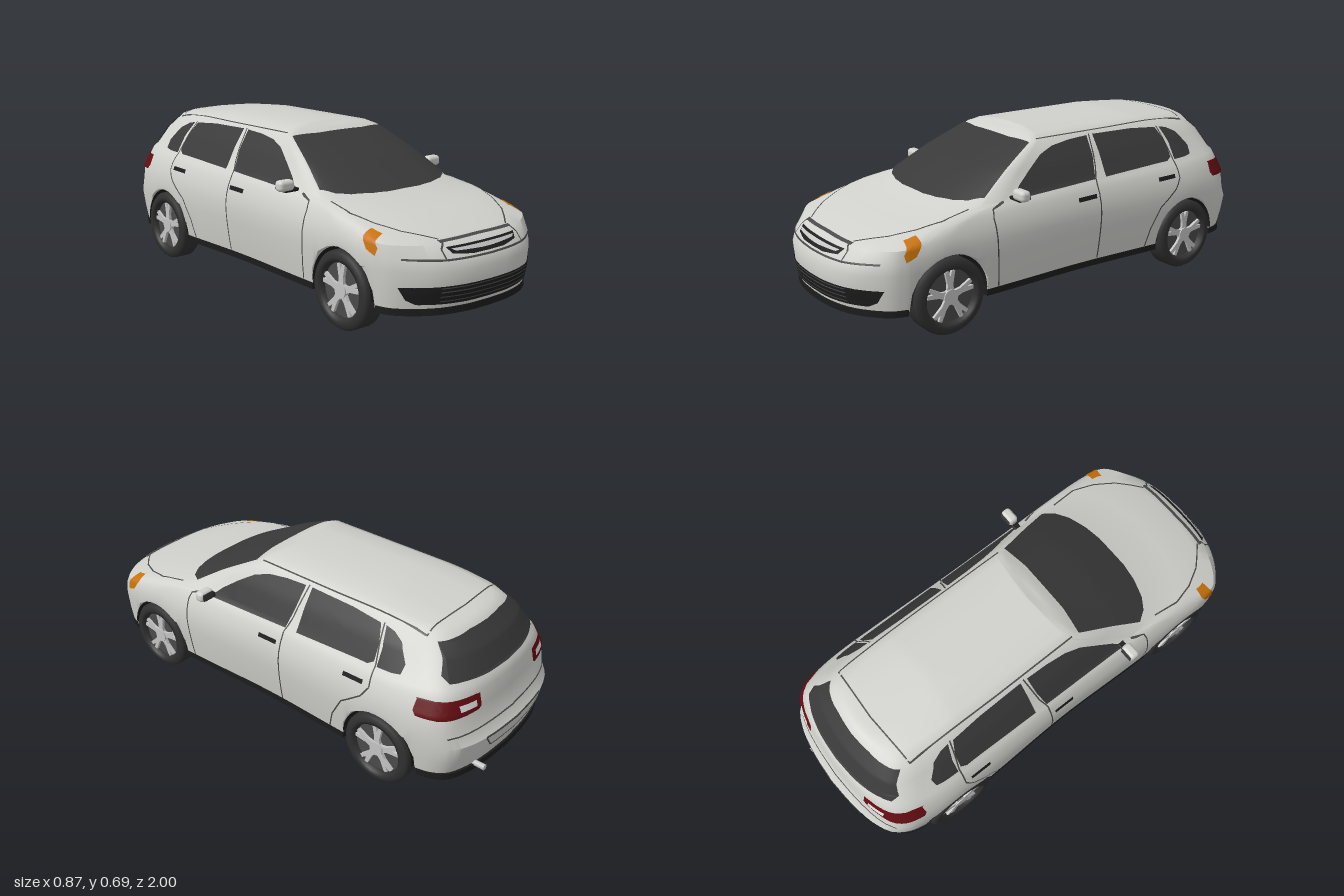
import * as THREE from 'three';
import { toCreasedNormals } from 'three/addons/utils/BufferGeometryUtils.js';
import { RoundedBoxGeometry } from 'three/addons/geometries/RoundedBoxGeometry.js';

const mat = (name, color) => new THREE.MeshStandardMaterial({ name, color, side: THREE.DoubleSide });
const M = {
  paint: mat('silver paint', 0xd0d0cc), glass: mat('tinted glass', 0x393939), trim: mat('black trim', 0x1c1c1c),
  tyre: mat('tyre rubber', 0x303030), seam: mat('panel gap', 0x4a4a4a), rim: mat('alloy', 0xc4c4c4),
  amber: mat('amber lens', 0xc87208), red: mat('red lens', 0x640c12), white: mat('clear lens', 0xe2dede),
};

const ARCH_R = 0.166, AXLE_Y = 0.1525, AXLES = [0.6, -0.625];
const lerp = THREE.MathUtils.lerp;

// Half outline seen from above, front centre to rear centre: [width fraction, z]
function outline() {
  const arc = pts => new THREE.CatmullRomCurve3(pts.map(([x, z]) => new THREE.Vector3(x, 0, z)))
    .getPoints(16).map(p => [p.x, p.z]);
  const zs = [];
  for (const c of AXLES) {
    zs.push(c + ARCH_R + 0.004);
    for (let i = 0; i <= 16; i++) zs.push(c + ARCH_R * Math.cos(Math.PI * i / 16));
    zs.push(c - ARCH_R - 0.004);
  }
  for (let z = 0.36; z > -0.42; z -= 0.09) zs.push(z);
  zs.sort((a, b) => b - a);
  const side = zs.map(z => [1 - 1.2 * Math.max(0, Math.abs(z) - 0.62) ** 2, z]);
  return [
    ...arc([[0, 0.99], [0.3, 0.982], [0.6, 0.945], [0.82, 0.88], [0.93, 0.825], [0.972, 0.774]]),
    ...side,
    ...arc([[0.962, -0.799], [0.93, -0.86], [0.85, -0.92], [0.65, -0.965], [0.35, -0.99], [0, -1]]),
  ];
}
const HALF = outline();
const inArch = z => AXLES.find(c => Math.abs(z - c) <= ARCH_R + 1e-6);

// Stacked rings: half width, front z, rear z, heights at [nose, front axle, rear axle, tail]
const RINGS = [
  [0.385, 0.970, -0.965, [0.125, 0.135, 0.135, 0.145]],
  [0.395, 0.985, -0.985, [0.200, 0.200, 0.200, 0.200]],
  [0.403, 0.990, -1.000, [0.275, 0.280, 0.280, 0.270]],
  [0.405, 0.972, -0.968, [0.312, 0.335, 0.340, 0.310]],
  [0.396, 0.925, -0.955, [0.360, 0.385, 0.400, 0.400]],
  [0.377, 0.880, -0.945, [0.378, 0.430, 0.450, 0.460]],
  [0.361, 0.720, -0.935, [0.427, 0.455, 0.475, 0.490]],
  [0.346, 0.535, -0.920, [0.462, 0.467, 0.490, 0.505]],
  [0.299, 0.340, -0.878, [0.562, 0.565, 0.575, 0.580]],
  [0.244, 0.130, -0.820, [0.655, 0.652, 0.652, 0.640]],
  [0.200, 0.110, -0.800, [0.667, 0.672, 0.672, 0.652]],
  [0.100, 0.090, -0.780, [0.672, 0.683, 0.682, 0.656]],
  [0.000, 0.080, -0.770, [0.673, 0.685, 0.684, 0.658]],
];
function ringPoint(k, [fx, z]) {
  const [w, zf, zr, [yF, yA, yB, yR]] = RINGS[k];
  const pf = k <= 4 ? 0.78 : 0, pr = k <= 4 ? -0.8 : 0;
  let y = z > 0.6 ? lerp(yA, yF, (z - 0.6) / 0.39) : z > -0.6 ? lerp(yB, yA, (z + 0.6) / 1.2) : lerp(yB, yR, (-0.6 - z) / 0.4);
  const c = inArch(z);
  if (k <= 3 && c !== undefined) y = Math.max(y, AXLE_Y + Math.sqrt(Math.max(0, ARCH_R ** 2 - (z - c) ** 2)) + k * 0.002);
  const waist = k <= 6 ? 1 - 0.04 * Math.exp(-(((z + 0.05) / 0.32) ** 2)) * (1 - k / 7) : 1;
  let zz = z;
  if (z > pf) zz = pf + (z - pf) * (zf - pf) / (0.99 - pf);
  else if (z < pr) zz = pr + (z - pr) * (zr - pr) / (-1 - pr);
  return [fx * w * waist, y, zz];
}

// Body shell lofted through the rings
function bodyShell() {
  const pos = [], idx = [], n = 2 * HALF.length - 2;
  RINGS.forEach((_, k) => {
    const half = HALF.map(s => ringPoint(k, s));
    const other = half.slice(1, -1).reverse().map(([x, y, z]) => [-x, y, z]);
    [...half, ...other].forEach(p => pos.push(...p));
  });
  for (let k = 0; k < RINGS.length - 1; k++) for (let i = 0; i < n; i++) {
    const a = k * n + i, b = k * n + (i + 1) % n;
    idx.push(a, b, b + n, a, b + n, a + n);
  }
  const g = new THREE.BufferGeometry();
  g.setAttribute('position', new THREE.Float32BufferAttribute(pos, 3));
  g.setIndex(idx);
  return new THREE.Mesh(toCreasedNormals(g, 0.6), M.paint);
}

export function createModel() {
  const car = new THREE.Group();
  car.name = 'hatchback';
  const add = (name, geo, m, parent = car) => {
    const mesh = new THREE.Mesh(geo, m);
    mesh.name = name;
    parent.add(mesh);
    return mesh;
  };
  const shell = bodyShell();
  shell.name = 'bodyShell';
  car.add(shell);

  // Thin plates laid on the shell: flat triangles are split and projected along dir
  const ray = new THREE.Raycaster();
  function drape(name, tris, dir, m, level, off) {
    const d = new THREE.Vector3(...dir), pos = [], idx = [], seen = new Map();
    const at = ([u, v]) => {
      const key = u.toFixed(5) + ',' + v.toFixed(5);
      if (!seen.has(key)) {
        const o = dir[0] ? new THREE.Vector3(0, v, u) : dir[1] ? new THREE.Vector3(u, 0, v) : new THREE.Vector3(u, v, 0);
        ray.set(o.addScaledVector(d, 3), d.clone().negate());
        const hit = ray.intersectObject(shell)[0];
        if (hit) pos.push(...hit.point.addScaledVector(hit.face.normal, off).toArray());
        seen.set(key, hit ? pos.length / 3 - 1 : -1);
      }
      return seen.get(key);
    };
    const mid = (p, q) => [(p[0] + q[0]) / 2, (p[1] + q[1]) / 2];
    const split = (a, b, c, l) => {
      if (l > 0) {
        const ab = mid(a, b), bc = mid(b, c), ca = mid(c, a);
        [[a, ab, ca], [ab, b, bc], [ca, bc, c], [ab, bc, ca]].forEach(t => split(...t, l - 1));
        return;
      }
      const t = [at(a), at(b), at(c)];
      if (t.some(i => i < 0)) return;
      const [A, B, C] = t.map(i => new THREE.Vector3().fromArray(pos, i * 3));
      if (B.sub(A).cross(C.sub(A)).dot(d) < 0) t.reverse();
      idx.push(...t);
    };
    tris.forEach(t => split(...t, level));
    const g = new THREE.BufferGeometry();
    g.setAttribute('position', new THREE.Float32BufferAttribute(pos, 3));
    g.setIndex(idx);
    g.computeVertexNormals();
    return add(name, g, m);
  }
  const plate = (name, pts, dir, m, level = 3, off = 0.004) => drape(name,
    THREE.ShapeUtils.triangulateShape(pts.map(p => new THREE.Vector2(...p)), []).map(t => t.map(i => pts[i])), dir, m, level, off);
  const stroke = (name, pts, dir, m = M.seam, w = 0.006, off = 0.003) => {
    const tris = [];
    for (let i = 0; i + 1 < pts.length; i++) {
      const [p, q] = [pts[i], pts[i + 1]], l = Math.hypot(q[0] - p[0], q[1] - p[1]);
      const nx = -(q[1] - p[1]) / l * w / 2, ny = (q[0] - p[0]) / l * w / 2;
      const a = [p[0] + nx, p[1] + ny], b = [q[0] + nx, q[1] + ny], c = [q[0] - nx, q[1] - ny], e = [p[0] - nx, p[1] - ny];
      tris.push([a, b, c], [a, c, e]);
    }
    return drape(name, tris, dir, m, 3, off);
  };
  const flip = pts => pts.map(([u, v]) => [-u, v]);
  const both = pts => [...pts, ...flip(pts).reverse()];
  const TOP = [0, 1, 0], FRONT = [0, 0, 1], BACK = [0, 0, -1];

  // Windscreen and rear window
  plate('windscreen', both([[0.08, 0.525], [0.16, 0.512], [0.24, 0.485], [0.29, 0.45], [0.322, 0.4], [0.237, 0.122], [0.12, 0.14]]), TOP, M.glass, 4, 0.005);
  plate('rearWindow', both([[0.1, 0.636], [0.228, 0.622], [0.285, 0.53], [0.28, 0.505], [0.12, 0.497]]), BACK, M.glass, 4, 0.005);

  // Grilles, bumper seams
  plate('upperGrille', both([[0.18, 0.35], [0.165, 0.328], [0.08, 0.319]]), FRONT, M.trim);
  plate('grilleBar', both([[0.165, 0.342], [0.15, 0.334], [0.03, 0.329]]), FRONT, M.rim, 3, 0.008);
  plate('lowerGrille', both([[0.348, 0.222], [0.325, 0.175], [0.295, 0.157], [0.12, 0.154]]), FRONT, M.trim, 4);
  for (const y of [0.168, 0.185, 0.202, 0.216]) stroke('grilleSlat', [[-0.225, y], [0, y], [0.225, y]], FRONT, M.seam, 0.004, 0.007);
  stroke('noseSeam', [[-0.34, 0.322], [-0.2, 0.312], [0, 0.31], [0.2, 0.312], [0.34, 0.322]], FRONT);
  stroke('bonnetLip', [[-0.19, 0.366], [0, 0.368], [0.19, 0.366]], FRONT);
  stroke('tailgateSeam', [[-0.34, 0.312], [0, 0.308], [0.34, 0.312]], BACK);
  stroke('plateRecess', [[-0.19, 0.27], [-0.15, 0.215], [0.15, 0.215], [0.19, 0.27], [-0.19, 0.27]], BACK);
  stroke('spoilerSeam', [[-0.235, -0.72], [0, -0.732], [0.235, -0.72]], TOP);

  for (const s of [1, -1]) {
    const side = [s, 0, 0], m = pts => (s > 0 ? pts : flip(pts));
    // Side glass
    plate('frontSideWindow', [[0.29, 0.462], [0.24, 0.51], [0.17, 0.56], [0.1, 0.602], [0.03, 0.625], [-0.06, 0.636], [-0.158, 0.64], [-0.15, 0.56], [-0.13, 0.477]], side, M.glass, 3, 0.005);
    plate('rearSideWindow', [[-0.19, 0.641], [-0.4, 0.637], [-0.535, 0.626], [-0.56, 0.57], [-0.565, 0.505], [-0.54, 0.49], [-0.188, 0.478]], side, M.glass, 3, 0.005);
    plate('quarterWindow', [[-0.56, 0.625], [-0.6, 0.617], [-0.645, 0.595], [-0.69, 0.535], [-0.685, 0.5], [-0.65, 0.494], [-0.583, 0.492], [-0.58, 0.56]], side, M.glass, 3, 0.005);
    // Door seams and handles
    stroke('frontDoorSeam', [[0.33, 0.465], [0.39, 0.45], [0.398, 0.42], [0.393, 0.31], [0.38, 0.145]], side);
    stroke('middleDoorSeam', [[-0.173, 0.645], [-0.15, 0.52], [-0.13, 0.465], [-0.128, 0.145]], side);
    stroke('rearDoorSeam', [[-0.548, 0.63], [-0.575, 0.5], [-0.58, 0.42], [-0.55, 0.375], [-0.46, 0.31], [-0.41, 0.22], [-0.39, 0.145]], side);
    for (const [z, y] of [[-0.015, 0.415], [-0.455, 0.428]])
      plate('doorHandle', [[z, y + 0.009], [z - 0.095, y + 0.011], [z - 0.095, y - 0.006], [z, y - 0.008]], side, M.trim, 2, 0.008);
    // Bonnet and roof seams
    stroke('bonnetSeam', m([[0.335, 0.48], [0.345, 0.6], [0.318, 0.7], [0.27, 0.79], [0.22, 0.845], [0.18, 0.885]]), TOP);
    stroke('headlampSeam', m([[0.18, 0.365], [0.2, 0.345], [0.2, 0.314]]), FRONT);
    stroke('roofSeam', m([[0.236, 0.09], [0.238, -0.3], [0.234, -0.72]]), TOP);
    // Lamps
    plate('indicator', [[0.718, 0.405], [0.718, 0.385], [0.745, 0.345], [0.785, 0.328], [0.79, 0.355], [0.765, 0.393]], side, M.amber);
    plate('tailLampSide', [[-0.778, 0.452], [-0.775, 0.41], [-0.79, 0.393], [-0.93, 0.39], [-0.93, 0.452]], side, M.red);
    plate('tailLampRear', m([[0.185, 0.447], [0.2, 0.455], [0.36, 0.455], [0.36, 0.39], [0.2, 0.392], [0.185, 0.402]]), BACK, M.red);
    plate('reverseLamp', m([[0.21, 0.434], [0.285, 0.434], [0.285, 0.41], [0.21, 0.41]]), BACK, M.white, 2, 0.008);
    // Door mirror
    const mirror = new THREE.Group();
    mirror.name = 'doorMirror';
    add('mirrorHousing', new RoundedBoxGeometry(0.072, 0.044, 0.045, 3, 0.016), M.paint, mirror).position.set(s * 0.4, 0.495, 0.28);
    add('mirrorArm', new RoundedBoxGeometry(0.085, 0.013, 0.03, 2, 0.005), M.trim, mirror).position.set(s * 0.365, 0.474, 0.28);
    add('mirrorGlass', new THREE.BoxGeometry(0.054, 0.03, 0.004), M.glass, mirror).position.set(s * 0.4, 0.495, 0.257);
    car.add(mirror);
  }

  // Underbody with wheel notches
  const slab = (name, scale, y0, y1, fn) => {
    const half = HALF.map(st => { const [x, , z] = ringPoint(0, st); return fn(x * scale, z * scale, st[1]); });
    const pts = [...half, ...half.slice(1, -1).reverse().map(([x, z]) => [-x, z])];
    const g = new THREE.ExtrudeGeometry(new THREE.Shape(pts.map(([x, z]) => new THREE.Vector2(x, -z))), { depth: y1 - y0, bevelEnabled: false });
    add(name, g.rotateX(-Math.PI / 2).translate(0, y0, 0), M.trim);
  };
  slab('underbody', 1.006, 0.114, 0.14, (x, z, base) => [inArch(base) !== undefined ? 0.28 : x, z]);
  slab('floorPan', 0.9, 0.1, 0.116, (x, z) => [Math.min(x, 0.28), z]);

  // Wheel wells and wheels
  const spoke = new THREE.Shape([[-0.017, 0], [-0.012, 0.05], [-0.022, 0.1], [-0.008, 0.104], [0, 0.08], [0.008, 0.104], [0.022, 0.1], [0.012, 0.05], [0.017, 0]].map(p => new THREE.Vector2(...p)));
  const spokeGeo = new THREE.ExtrudeGeometry(spoke, { depth: 0.012, bevelEnabled: false }).rotateY(Math.PI / 2);
  const tyreGeo = new THREE.LatheGeometry([[0.06, -0.05], [0.12, -0.05], [0.144, -0.046], [0.1525, -0.034], [0.1525, 0.034], [0.144, 0.046], [0.125, 0.05], [0.11, 0.047], [0.106, 0.024]]
    .map(p => new THREE.Vector2(...p)), 36).rotateZ(-Math.PI / 2);
  const turned = (r, h, seg = 32) => new THREE.CylinderGeometry(r, r, h, seg).rotateZ(-Math.PI / 2);
  for (const z of AXLES) for (const s of [1, -1]) {
    const well = new THREE.CylinderGeometry(ARCH_R - 0.001, ARCH_R - 0.001, 0.11, 24, 1, true, 0, Math.PI).rotateZ(Math.PI / 2);
    add('wheelWell', well, M.trim).position.set(s * 0.334, AXLE_Y, z);
    add('wheelWellWall', new THREE.CircleGeometry(ARCH_R, 24, 0, Math.PI).rotateY(Math.PI / 2), M.trim).position.set(s * 0.28, AXLE_Y, z);
    const wheel = new THREE.Group();
    wheel.name = 'wheel';
    add('tyre', tyreGeo, M.tyre, wheel);
    add('wheelDisc', turned(0.109, 0.06), M.seam, wheel).position.x = -0.005;
    add('hub', turned(0.03, 0.02, 20), M.rim, wheel).position.x = 0.034;
    for (let i = 0; i < 5; i++) {
      const sp = add('spoke', spokeGeo, M.rim, wheel);
      sp.position.x = 0.027;
      sp.rotation.x = i * Math.PI * 2 / 5;
    }
    wheel.position.set(s * 0.35, AXLE_Y, z);
    if (s < 0) wheel.rotation.y = Math.PI;
    car.add(wheel);
  }

  // Exhaust pipe
  add('exhaustPipe', new THREE.CylinderGeometry(0.012, 0.012, 0.1, 16).rotateX(Math.PI / 2), M.rim).position.set(0.2, 0.14, -0.945);
  return car;
}
